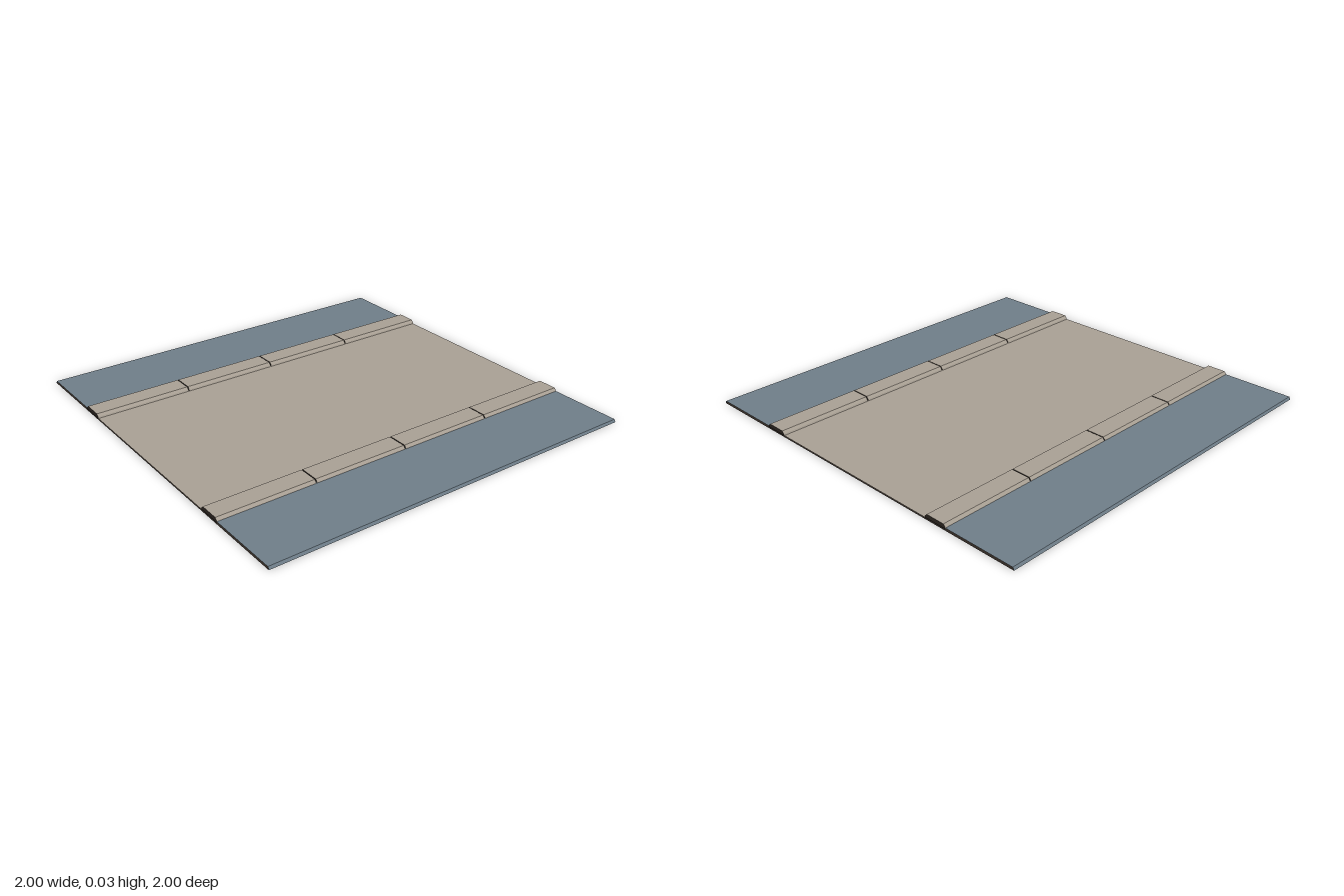
import * as THREE from 'three';

const paving = new THREE.MeshStandardMaterial({ color: 0xa89f93, side: THREE.DoubleSide });
paving.name = 'warm grey paving';
const slate = new THREE.MeshStandardMaterial({ color: 0x6e7d88, side: THREE.DoubleSide });
slate.name = 'slate blue verge';
const dark = new THREE.MeshStandardMaterial({ color: 0x2b2520, side: THREE.DoubleSide });
dark.name = 'dark underside';

// Open sheet that follows a section of [x, y] points along the whole tile
function sheet(name, section, material) {
  const positions = [];
  for (let i = 0; i < section.length - 1; i++) {
    const [ax, ay] = section[i], [bx, by] = section[i + 1];
    positions.push(ax, ay, 1, bx, by, 1, bx, by, -1, ax, ay, 1, bx, by, -1, ax, ay, -1);
  }
  const geometry = new THREE.BufferGeometry();
  geometry.setAttribute('position', new THREE.Float32BufferAttribute(positions, 3));
  geometry.computeVertexNormals();
  const mesh = new THREE.Mesh(geometry, material);
  mesh.name = name;
  return mesh;
}

// Bevelled kerb stone, tan along its length with dark ends
function kerbStone(length) {
  const shape = new THREE.Shape([
    [-0.063, 0.008], [0.063, 0.008], [0.06, 0.016], [0.05, 0.028], [-0.05, 0.028], [-0.06, 0.016],
  ].map(([x, y]) => new THREE.Vector2(x, y)));
  const geometry = new THREE.ExtrudeGeometry(shape, { depth: length, bevelEnabled: false });
  return new THREE.Mesh(geometry, [dark, paving]);
}

export function createModel() {
  const model = new THREE.Group();
  model.name = 'roadTile';

  // Underside and road surface
  model.add(sheet('underside', [[1, 0], [-1, 0]], dark));
  model.add(sheet('roadSurface', [[-0.5, 0.008], [0.5, 0.008]], paving));

  // Verges with a sloped outer edge
  model.add(sheet('rightVerge', [[-1, 0], [-0.993, 0.013], [-0.6, 0.013]], slate));
  model.add(sheet('leftVerge', [[0.6, 0.013], [0.993, 0.013], [1, 0]], slate));

  // Four kerb stones on each side, with a dark bed showing in the joints
  const gap = 0.005;
  for (const side of [-1, 1]) {
    const kerb = new THREE.Group();
    kerb.name = side < 0 ? 'rightKerb' : 'leftKerb';
    kerb.position.x = side * 0.557;
    for (let i = 0; i < 4; i++) {
      const start = -1 + i * 0.5 + (i > 0 ? gap / 2 : 0);
      const end = -0.5 + i * 0.5 - (i < 3 ? gap / 2 : 0);
      const stone = kerbStone(end - start);
      stone.name = 'kerbStone';
      stone.position.z = start;
      kerb.add(stone);
    }
    const bed = new THREE.Mesh(new THREE.BoxGeometry(0.105, 0.012, 1.98), dark);
    bed.name = 'kerbBed';
    bed.position.y = 0.015;
    kerb.add(bed);
    model.add(kerb);
  }
  return model;
}
